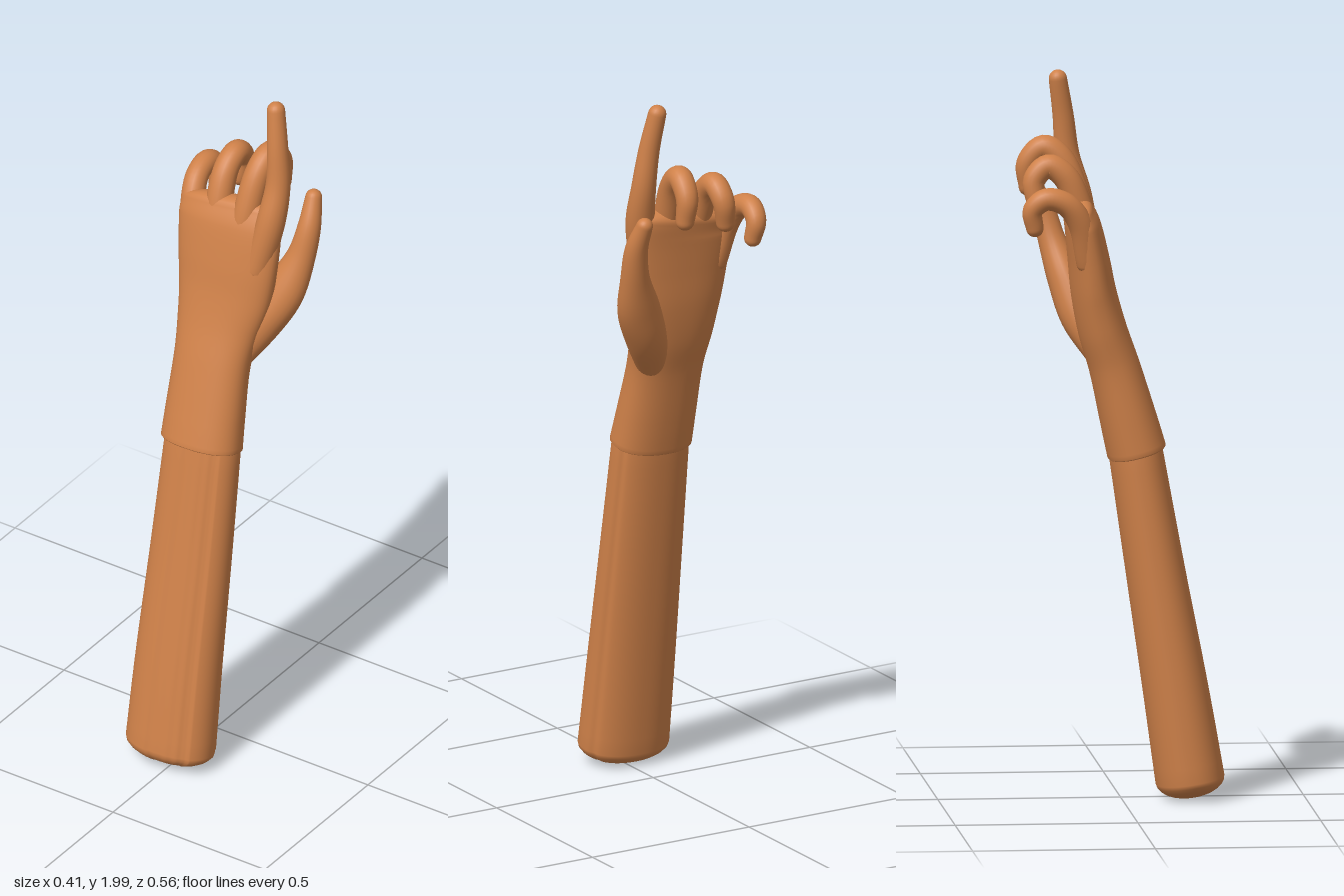
import * as THREE from 'three';

const skin = new THREE.MeshStandardMaterial({ color: 0xcf8149 });
skin.name = 'skin';

// Closed loft through [x, y, z, halfWidth, halfDepth] stations with rounded ends.
function loft(name, stations, { sides = 20, steps = 30, square = 1, capStart = 0.01, capEnd = null, shape = () => 1 } = {}) {
  const path = new THREE.CatmullRomCurve3(stations.map(s => new THREE.Vector3(s[0], s[1], s[2])));
  const size = new THREE.CatmullRomCurve3(stations.map((s, i) => new THREE.Vector3(s[3], s[4] ?? s[3], i * 0.1)));
  const last = stations.length - 1;
  const endLength = capEnd ?? stations[last][3];
  const rows = [];
  const addRow = (t, offset, scale) => rows.push({ t, offset, scale });
  const capSteps = 7;
  for (let i = 0; i < capSteps; i++) {
    const a = (1 - i / capSteps) * Math.PI / 2;
    addRow(0, -capStart * Math.sin(a), Math.cos(a));
  }
  for (let i = 0; i <= steps; i++) addRow(i / steps, 0, 1);
  for (let i = 1; i <= capSteps; i++) {
    const a = (i / capSteps) * Math.PI / 2;
    addRow(1, endLength * Math.sin(a), Math.cos(a));
  }
  const positions = [], index = [];
  const bend = v => Math.sign(v) * Math.pow(Math.abs(v), square);
  rows.forEach(({ t, offset, scale }, i) => {
    const tangent = path.getTangent(t);
    const centre = path.getPoint(t).addScaledVector(tangent, offset);
    const r = size.getPoint(t);
    const side = new THREE.Vector3(1, 0, 0).addScaledVector(tangent, -tangent.x).normalize();
    const front = side.clone().cross(tangent);
    for (let j = 0; j < sides; j++) {
      const a = (j / sides) * Math.PI * 2;
      const k = scale * shape(a);
      const p = centre.clone()
        .addScaledVector(side, bend(Math.cos(a)) * r.x * k)
        .addScaledVector(front, bend(Math.sin(a)) * r.y * k);
      positions.push(p.x, p.y, p.z);
      if (i < rows.length - 1) {
        const n = (j + 1) % sides, b = i * sides, c = b + sides;
        index.push(b + j, c + j, b + n, b + n, c + j, c + n);
      }
    }
  });
  const geometry = new THREE.BufferGeometry();
  geometry.setAttribute('position', new THREE.Float32BufferAttribute(positions, 3));
  geometry.setIndex(index);
  geometry.computeVertexNormals();
  const mesh = new THREE.Mesh(geometry, skin);
  mesh.name = name;
  return mesh;
}

// Shallow recessed panel and folds running down the forearm
function folds(a) {
  const x = Math.cos(a), z = Math.sin(a);
  if (z > 0 && x > -0.12 && x < 0.72) return 0.945 + 0.008 * Math.cos(a * 24);
  const groove = Math.exp(-Math.pow((a - 5.9) / 0.12, 2));
  return 1 - 0.04 * groove;
}

export function createModel() {
  const group = new THREE.Group();

  // Forearm
  group.add(loft('forearm', [
    [-0.02, 0.06, 0.188, 0.131, 0.094],
    [-0.02, 0.3, 0.15, 0.127, 0.089],
    [-0.017, 0.65, 0.091, 0.12, 0.08],
    [-0.015, 0.98, 0.037, 0.113, 0.073],
  ], { sides: 120, steps: 16, square: 0.9, capStart: 0.05, capEnd: 0.005, shape: folds }));

  // Wrist and palm
  group.add(loft('hand', [
    [-0.018, 0.965, 0.042, 0.119, 0.081],
    [-0.021, 1.05, 0.02, 0.116, 0.077],
    [-0.025, 1.2, -0.02, 0.113, 0.069],
    [-0.025, 1.3, -0.052, 0.126, 0.066],
    [-0.02, 1.4, -0.075, 0.145, 0.061],
    [-0.021, 1.5, -0.09, 0.156, 0.055],
    [-0.026, 1.6, -0.108, 0.162, 0.047],
    [-0.032, 1.645, -0.122, 0.155, 0.038],
  ], { sides: 48, steps: 48, square: 0.88, capStart: 0.012, capEnd: 0.03 }));

  // Fingers: one pointing, three curled towards the palm
  const fingers = {
    littleFinger: [
      [-0.135, 1.5, -0.098, 0.036], [-0.16, 1.61, -0.125, 0.034], [-0.173, 1.665, -0.165, 0.032],
      [-0.176, 1.68, -0.22, 0.031], [-0.172, 1.65, -0.256, 0.028], [-0.165, 1.6, -0.25, 0.024],
    ],
    ringFinger: [
      [-0.06, 1.5, -0.088, 0.036], [-0.07, 1.65, -0.122, 0.037], [-0.073, 1.73, -0.16, 0.035],
      [-0.071, 1.757, -0.205, 0.033], [-0.075, 1.72, -0.243, 0.031], [-0.085, 1.655, -0.238, 0.026],
    ],
    middleFinger: [
      [0.015, 1.5, -0.083, 0.036], [0.026, 1.66, -0.118, 0.038], [0.034, 1.765, -0.163, 0.036],
      [0.04, 1.794, -0.207, 0.034], [0.045, 1.75, -0.25, 0.031], [0.05, 1.685, -0.248, 0.026],
    ],
    indexFinger: [
      [0.08, 1.5, -0.083, 0.038], [0.108, 1.65, -0.108, 0.04], [0.113, 1.76, -0.135, 0.034],
      [0.103, 1.87, -0.147, 0.029], [0.087, 1.975, -0.163, 0.025],
    ],
  };
  for (const [name, stations] of Object.entries(fingers)) group.add(loft(name, stations, { capStart: 0.03 }));

  // Thumb with its fleshy base
  group.add(loft('thumb', [
    [0.035, 1.22, -0.05, 0.045, 0.04],
    [0.085, 1.32, -0.1, 0.058, 0.056],
    [0.132, 1.42, -0.138, 0.06, 0.05],
    [0.163, 1.52, -0.172, 0.041, 0.038],
    [0.174, 1.61, -0.197, 0.032, 0.032],
    [0.167, 1.685, -0.228, 0.023, 0.023],
  ], { sides: 24, capStart: 0.04 }));

  return group;
}
